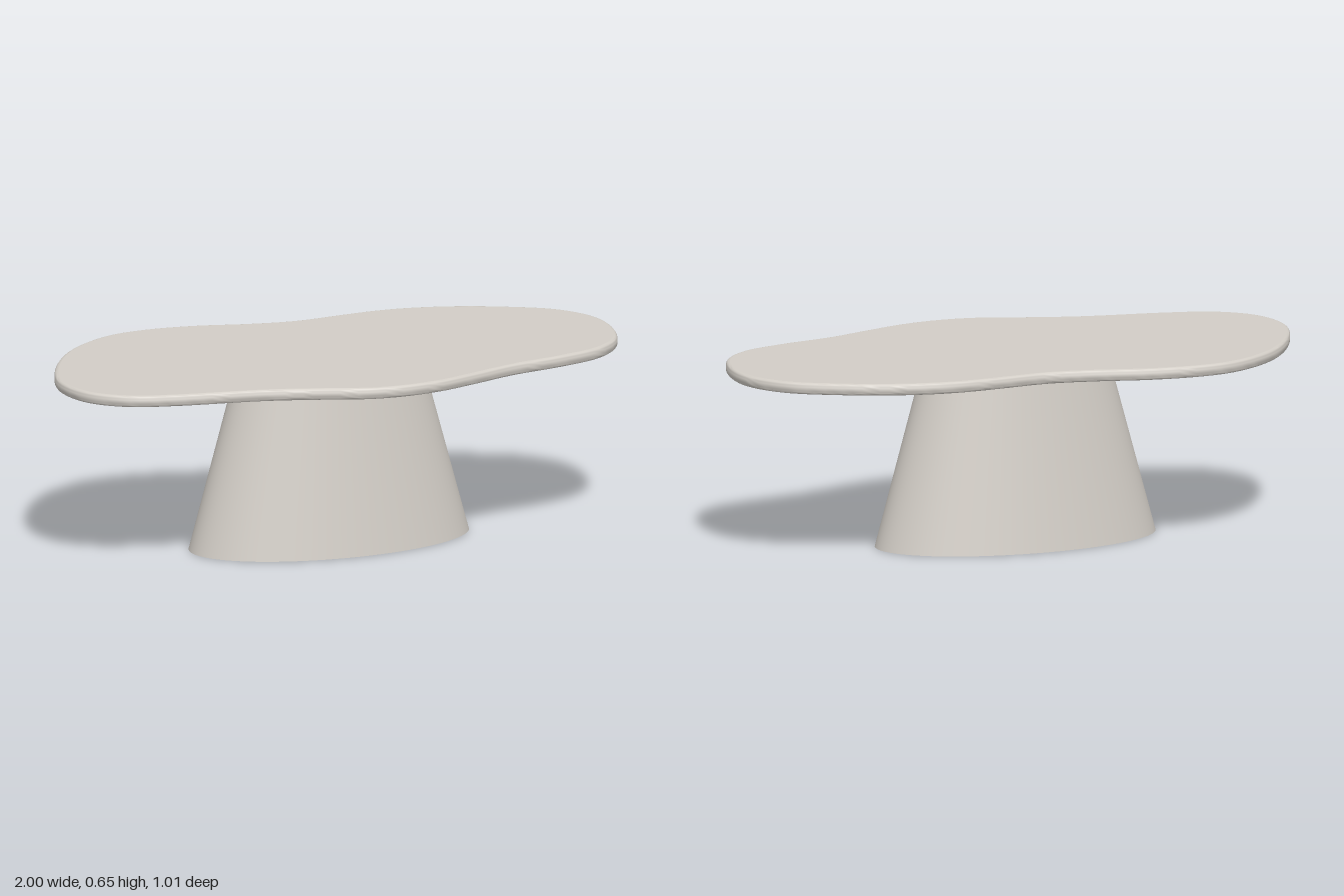
import * as THREE from 'three';
import { toCreasedNormals } from 'three/addons/utils/BufferGeometryUtils.js';

const stone = new THREE.MeshStandardMaterial({ color: 0xd2cdc6 });
stone.name = 'warm grey';

// Free-form outline of the top as [x, z], running left, front, right, back
const OUTLINE = [
  [-0.47, -0.51], [-0.62, -0.485], [-0.8, -0.365], [-0.935, -0.17], [-0.998, 0.03],
  [-0.96, 0.19], [-0.85, 0.29], [-0.7, 0.335], [-0.4, 0.385], [-0.2, 0.445],
  [-0.07, 0.49], [0.06, 0.503], [0.2, 0.485], [0.35, 0.435], [0.5, 0.38],
  [0.7, 0.335], [0.85, 0.28], [0.95, 0.18], [0.998, 0], [0.98, -0.13],
  [0.9, -0.25], [0.75, -0.345], [0.6, -0.41], [0.45, -0.447], [0.33, -0.455],
  [0.2, -0.445], [0.03, -0.43], [-0.13, -0.453], [-0.3, -0.495],
];

// Thin organic slab with a rounded rim
function createTop() {
  const curve = new THREE.CatmullRomCurve3(
    OUTLINE.map(([x, z]) => new THREE.Vector3(x, -z, 0)), true, 'centripetal');
  const points = curve.getSpacedPoints(160).slice(0, -1);
  const shape = new THREE.Shape(points.map((p) => new THREE.Vector2(p.x, p.y)));
  const height = 0.04, round = 0.014;
  const extruded = new THREE.ExtrudeGeometry(shape, {
    depth: height - 2 * round,
    bevelEnabled: true,
    bevelThickness: round,
    bevelSize: round,
    bevelOffset: -round,
    bevelSegments: 4,
  });
  const geometry = toCreasedNormals(extruded, 0.65);

  // Keep the two flat faces perfectly flat
  const { position, normal } = geometry.attributes;
  const caps = extruded.groups[0];
  for (let i = caps.start; i < caps.start + caps.count; i++) {
    normal.setXYZ(i, 0, 0, position.getZ(i) > height / 2 - round ? 1 : -1);
  }
  geometry.clearGroups();
  geometry.rotateX(-Math.PI / 2);
  geometry.translate(0, 0.611 + round, 0);

  const mesh = new THREE.Mesh(geometry, stone);
  mesh.name = 'tableTop';
  return mesh;
}

// Tapered pedestal with an oval cross-section
function createPedestal() {
  const height = 0.613;
  const geometry = new THREE.CylinderGeometry(0.327, 0.495, height, 96);
  geometry.scale(1, 1, 0.516);
  geometry.translate(-0.011, height / 2, -0.015);
  const mesh = new THREE.Mesh(geometry, stone);
  mesh.name = 'pedestal';
  return mesh;
}

export function createModel() {
  const group = new THREE.Group();
  group.name = 'coffeeTable';
  group.add(createTop(), createPedestal());
  return group;
}
